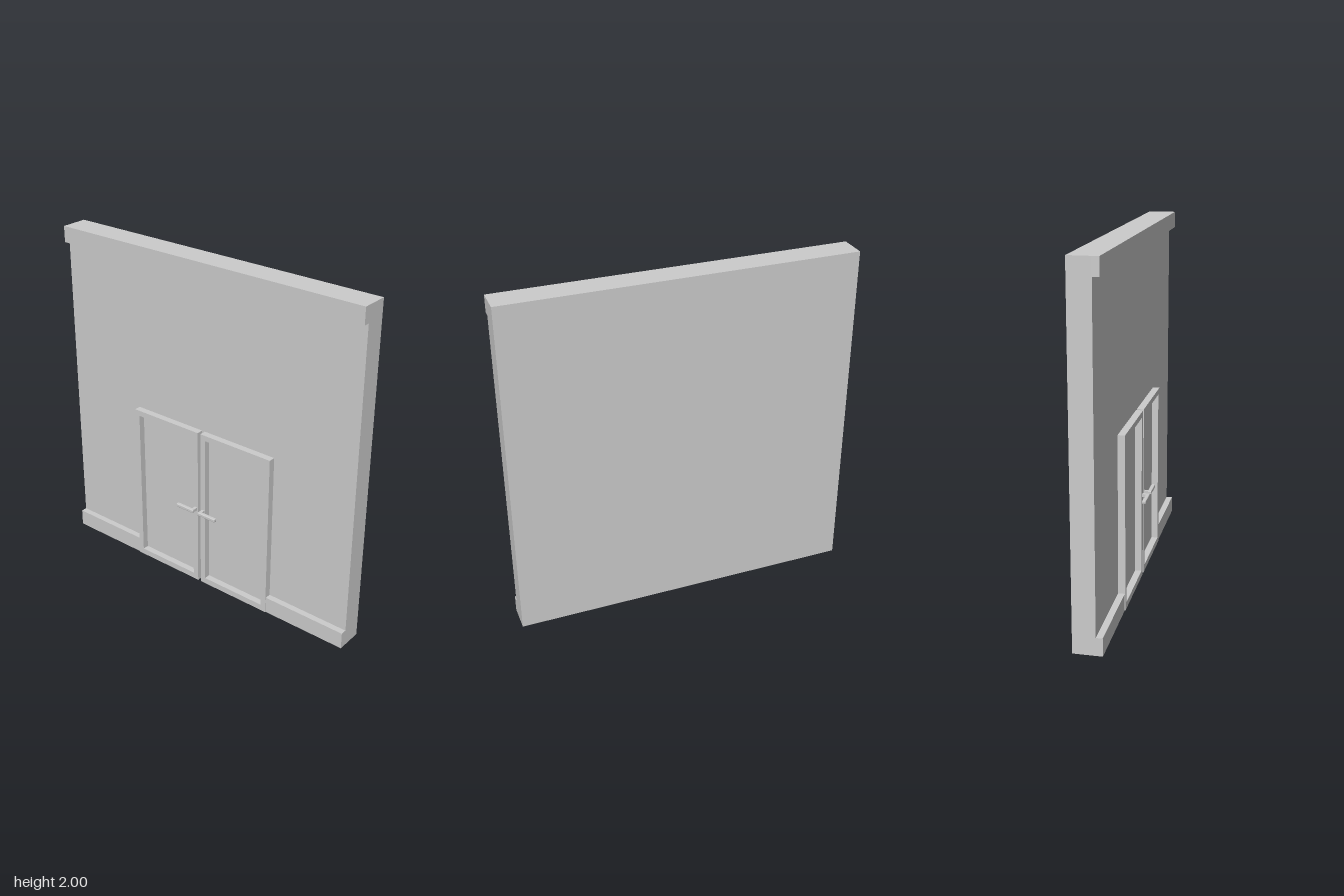
import * as THREE from 'three';
import { RoundedBoxGeometry } from 'three/addons/geometries/RoundedBoxGeometry.js';

const BACK = -0.103, WALL = 0.02, TRIM = 0.056, DOOR = 0.06, TIP = 0.103;

export function createModel() {
  const group = new THREE.Group();
  const material = new THREE.MeshStandardMaterial({ color: 0xcccccc, flatShading: true });

  const add = (name, geometry, parent = group) => {
    const mesh = new THREE.Mesh(geometry, material);
    mesh.name = name;
    parent.add(mesh);
    return mesh;
  };
  // Box given by its limits on each axis
  const span = (name, [x0, x1], [y0, y1], [z0, z1], parent = group, radius = 0) => {
    const size = [x1 - x0, y1 - y0, z1 - z0];
    const geometry = radius
      ? new RoundedBoxGeometry(...size, 1, radius)
      : new THREE.BoxGeometry(...size);
    add(name, geometry, parent).position.set((x0 + x1) / 2, (y0 + y1) / 2, (z0 + z1) / 2);
  };
  const rectangle = (Type, x0, x1, y0, y1) => new Type([
    new THREE.Vector2(x0, y0), new THREE.Vector2(x1, y0),
    new THREE.Vector2(x1, y1), new THREE.Vector2(x0, y1),
  ]);

  // Wall with a crown moulding, and a baseboard interrupted by the doors
  span('wall', [-1, 1], [0, 2], [BACK, WALL]);
  span('crownMoulding', [-1, 1], [1.905, 2], [WALL, TRIM]);
  span('rightBaseboard', [-1, -0.49], [0, 0.1], [WALL, TRIM]);
  span('leftBaseboard', [0.485, 1], [0, 0.1], [WALL, TRIM]);

  // Two door leaves with recessed panels and lever handles
  const leaves = [
    { side: 'right', x: [-0.49, -0.015], bar: [-0.145, -0.02], stem: [-0.039, -0.021] },
    { side: 'left', x: [0.005, 0.485], bar: [0.015, 0.14], stem: [0.016, 0.034] },
  ];
  for (const { side, x: [x0, x1], bar, stem } of leaves) {
    const door = new THREE.Group();
    door.name = side + 'Door';
    group.add(door);

    const outline = rectangle(THREE.Shape, x0, x1, 0, 1);
    outline.holes.push(rectangle(THREE.Path, x0 + 0.033, x1 - 0.035, 0.037, 0.967));
    const frame = new THREE.ExtrudeGeometry(outline, { depth: DOOR - WALL, bevelEnabled: false });
    add(side + 'DoorFrame', frame, door).position.z = WALL;
    span(side + 'DoorPanel', [x0 + 0.02, x1 - 0.02], [0.02, 0.98], [WALL - 0.01, WALL + 0.002], door);

    span(side + 'HandleStem', stem, [0.491, 0.509], [DOOR - 0.005, TIP - 0.01], door);
    span(side + 'HandleBar', bar, [0.49, 0.51], [TIP - 0.022, TIP], door, 0.004);
  }
  return group;
}
